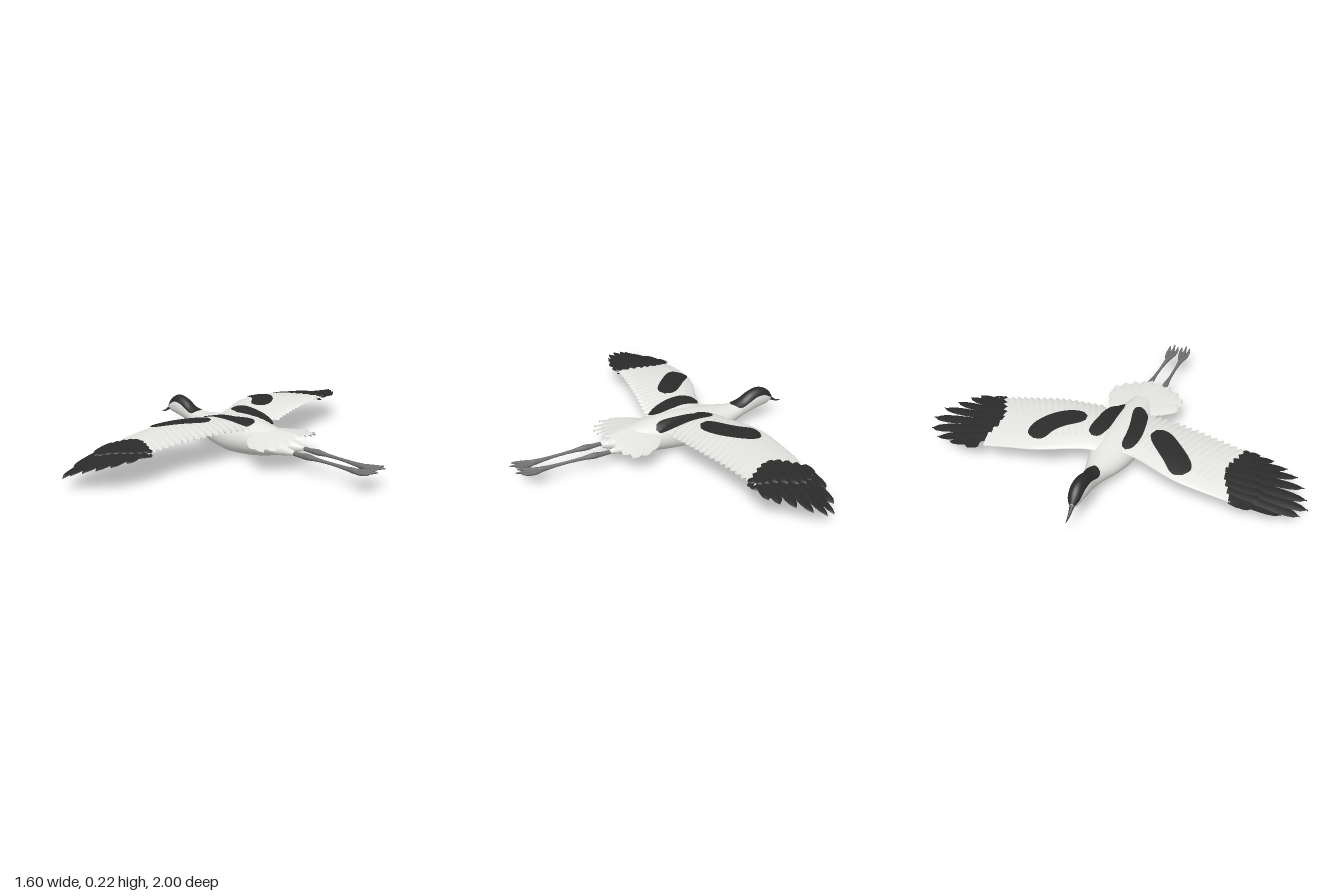
import * as THREE from 'three';
import { mergeGeometries, mergeVertices } from 'three/addons/utils/BufferGeometryUtils.js';

const mat = (name, color) => new THREE.MeshStandardMaterial({ name, color, side: THREE.DoubleSide });

// Smooth interpolation of table rows keyed by their first column
function sample(rows, k) {
  let i = 0;
  while (i < rows.length - 2 && k > rows[i + 1][0]) i++;
  const a = rows[i], b = rows[i + 1], p = rows[Math.max(i - 1, 0)], n = rows[Math.min(i + 2, rows.length - 1)];
  const d = b[0] - a[0], s = Math.min(1, Math.max(0, (k - a[0]) / d)), s2 = s * s, s3 = s2 * s;
  return a.slice(1).map((v, c) => {
    c++;
    const m0 = (b[c] - p[c]) / (b[0] - p[0]) * d, m1 = (n[c] - a[c]) / (n[0] - a[0]) * d;
    return (2 * s3 - 3 * s2 + 1) * v + (s3 - 2 * s2 + s) * m0 + (3 * s2 - 2 * s3) * b[c] + (s3 - s2) * m1;
  });
}

// Surface from f(u, v) -> [x, y, z]; faces point along dv x du
function grid(nu, nv, f) {
  const pos = [], idx = [];
  for (let i = 0; i <= nu; i++) for (let j = 0; j <= nv; j++) pos.push(...f(i / nu, j / nv));
  for (let i = 0; i < nu; i++) for (let j = 0; j < nv; j++) {
    const a = i * (nv + 1) + j, c = a + nv + 1;
    idx.push(a, a + 1, c + 1, a, c + 1, c);
  }
  let g = new THREE.BufferGeometry();
  g.setAttribute('position', new THREE.Float32BufferAttribute(pos, 3));
  g.setIndex(idx);
  g = mergeVertices(g, 1e-5);
  g.computeVertexNormals();
  return g;
}

// Body sections: x, centre z, bottom y, top y, half width
const BODY = [
  [-0.728, -0.062, 0.13, 0.15, 0.008], [-0.70, -0.06, 0.114, 0.188, 0.027], [-0.66, -0.056, 0.107, 0.215, 0.036],
  [-0.62, -0.05, 0.1, 0.221, 0.04], [-0.57, -0.045, 0.088, 0.207, 0.04], [-0.52, -0.038, 0.075, 0.178, 0.042],
  [-0.46, -0.03, 0.06, 0.163, 0.055], [-0.38, -0.012, 0.042, 0.168, 0.085], [-0.28, 0.005, 0.02, 0.185, 0.112],
  [-0.16, 0.025, 0.003, 0.2, 0.122], [-0.04, 0.04, 0.01, 0.203, 0.115], [0.08, 0.055, 0.03, 0.195, 0.095],
  [0.18, 0.068, 0.058, 0.178, 0.066], [0.26, 0.078, 0.085, 0.155, 0.036], [0.32, 0.085, 0.11, 0.13, 0.005],
];
function bodyPoint(x, a, off = 0) {
  const [zc, lo, hi, w] = sample(BODY, x);
  return [x, (lo + hi) / 2 + ((hi - lo) / 2 + off) * Math.cos(a), zc + (w + off) * Math.sin(a)];
}
function bodyTop(x, z) {
  const [zc, lo, hi, w] = sample(BODY, x), s = (z - zc) / w;
  return Math.abs(s) < 1 ? (lo + hi) / 2 + (hi - lo) / 2 * Math.sqrt(1 - s * s) : 0;
}

// Tapered round limb through rows of x, y, z, radius
const limb = (rows) => grid(rows.length * 5, 12, (u, v) => {
  const x = rows[0][0] + u * (rows[rows.length - 1][0] - rows[0][0]);
  const [y, z, r] = sample(rows, x), a = v * Math.PI * 2;
  return [x, y + r * Math.cos(a), z + r * Math.sin(a)];
});

// Rounded, slightly arched blade lying on a height function
function feather(root, tip, width, yFn, lift, tilt = 0.003, arch = 0.004) {
  const dx = tip[0] - root[0], dz = tip[1] - root[1], L = Math.hypot(dx, dz);
  return grid(12, 4, (u, v) => {
    const s = v * 2 - 1, e = Math.max(0, (u - 0.62) / 0.38);
    const w = width / 2 * Math.sqrt(Math.max(0, 1 - e * e)) * (0.75 + 0.25 * Math.min(1, u * 3)) * s;
    const x = root[0] + dx * u - dz / L * w, z = root[1] + dz * u + dx / L * w;
    return [x, yFn(x, z) + lift + arch * (1 - s * s) + tilt * s, z];
  });
}

// Painted ribbon along a path of [x, z], lying on a height function
function ribbon(path, width, yFn) {
  const c = new THREE.CatmullRomCurve3(path.map(([x, z]) => new THREE.Vector3(x, 0, z)));
  return grid(28, 8, (u, v) => {
    const p = c.getPoint(u), t = c.getTangent(u);
    const w = width * (v - 0.5) * Math.pow(Math.max(0, 1 - Math.pow(Math.abs(2 * u - 1), 5)), 0.5);
    const x = p.x - t.z * w, z = p.z + t.x * w;
    return [x, yFn(x, z), z];
  });
}

// Wing plans: edges are span, leading x, trailing x
const WINGS = [
  {
    name: 'leftWing', side: 1, drop: 0,
    edges: [[0.04, -0.31, 0.03], [0.13, -0.34, 0.01], [0.34, -0.45, -0.06], [0.5, -0.485, -0.11], [0.68, -0.495, -0.16], [1, -0.46, -0.25]],
    bases: [[0, -0.475, 0.63], [0.5, -0.33, 0.59], [1, -0.19, 0.66]],
    tips: [[-0.48, 0.88], [-0.455, 0.965], [-0.415, 1], [-0.37, 0.99], [-0.31, 0.97], [-0.255, 0.935], [-0.215, 0.88], [-0.18, 0.81], [-0.165, 0.74]],
    patch: [[-0.43, 0.4], [-0.36, 0.36], [-0.27, 0.29], [-0.17, 0.21]],
    scapular: [[-0.31, 0.085], [-0.22, 0.108], [-0.1, 0.105], [0.02, 0.085]],
  },
  {
    name: 'rightWing', side: -1, drop: 0.02,
    edges: [[0.04, -0.33, 0.05], [0.13, -0.345, 0.02], [0.34, -0.41, 0.0], [0.5, -0.415, -0.025], [0.68, -0.405, -0.05], [1, -0.31, -0.12]],
    bases: [[0, -0.39, 0.67], [0.5, -0.23, 0.59], [1, -0.075, 0.65]],
    tips: [[-0.385, 0.84], [-0.35, 0.93], [-0.29, 0.99], [-0.23, 1], [-0.17, 0.965], [-0.12, 0.905], [-0.07, 0.85], [-0.045, 0.8], [-0.045, 0.72]],
    patch: [[-0.36, 0.38], [-0.28, 0.355], [-0.2, 0.28], [-0.14, 0.16]],
    scapular: [[-0.27, 0.1], [-0.17, 0.07], [-0.06, 0.05], [0.05, 0.025]],
  },
];
const SPAN_Y = [[0.04, 0.18], [0.12, 0.19], [0.3, 0.195], [0.5, 0.178], [0.7, 0.147], [1, 0.097]];

function wingShape({ edges, drop }) {
  const chord = (x, z) => {
    const [a, b] = sample(edges, Math.abs(z));
    return Math.min(1, Math.max(0, (x - a) / (b - a)));
  };
  const mid = (t, z) => {
    const s = Math.abs(z);
    return sample(SPAN_Y, s)[0] + drop * s + (t - 0.5) * 0.07 * s - 0.03 * (2 * t - 1) ** 2 * (1 - 0.7 * s);
  };
  const half = (t, z) => (0.02 - 0.024 * Math.abs(z)) * (1 - 0.5 * t) * 2 * Math.sqrt(t * (1 - t));
  const at = (x, z, k) => { const t = chord(x, z); return mid(t, z) + k * half(t, z); };
  return { mid, half, at };
}

export function createModel() {
  const model = new THREE.Group();
  const white = mat('whitePlumage', 0xe4e4e0), black = mat('blackPlumage', 0x2b2b2b);
  const grey = mat('greyLegs', 0x717173), dark = mat('darkBill', 0x3a3a3b);
  const add = (parent, name, geo, m) => {
    const mesh = new THREE.Mesh(Array.isArray(geo) ? mergeGeometries(geo) : geo, m);
    mesh.name = name;
    parent.add(mesh);
  };

  // Body, hood and bill
  add(model, 'body', grid(64, 32, (u, v) => bodyPoint(-0.728 + 1.048 * u, v * Math.PI * 2)), white);
  const HOOD = [[-0.728, 1.7], [-0.69, 1.3], [-0.62, 1.1], [-0.54, 1.15], [-0.49, 0.95], [-0.455, 0.1]];
  add(model, 'hood', grid(28, 14, (u, v) => {
    const x = -0.728 + 0.273 * u;
    return bodyPoint(x, sample(HOOD, x)[0] * (2 * v - 1), 0.003);
  }), black);
  add(model, 'bill', limb([[-0.8, 0.098, -0.07, 0.001], [-0.77, 0.104, -0.067, 0.005], [-0.74, 0.122, -0.064, 0.009], [-0.7, 0.147, -0.061, 0.017]]), dark);

  // Wings
  for (const w of WINGS) {
    const g = new THREE.Group(), { side } = w, S = wingShape(w);
    g.name = w.name;
    model.add(g);
    add(g, 'wingArm', grid(36, 32, (u, v) => {
      const s = side > 0 ? 0.04 + 0.6 * u : 0.64 - 0.6 * u, z = s * side;
      const [a, b] = sample(w.edges, s), t = 0.5 + 0.5 * Math.cos(v * Math.PI * 2);
      return [a + t * (b - a - 0.025), S.mid(t, z) + Math.sign(Math.sin(v * Math.PI * 2)) * S.half(t, z), z];
    }), white);

    // Rows of feathers along the trailing half, above and below
    const row = (n, from, to, t0, t1, sweep, width, k, lift) => Array.from({ length: n }, (_, i) => {
      const s = from + (to - from) * i / (n - 1), s0 = Math.max(0.06, s - sweep * (0.3 + s));
      const [a, b] = sample(w.edges, s0), [c, d] = sample(w.edges, s);
      return feather([a + t0 * (b - a), s0 * side], [c + t1 * (d - c), s * side], width,
        (x, z) => S.at(x, z, k), lift, 0.004 * side * k, 0.004 * k);
    });
    add(g, 'secondaries', row(17, 0.13, 0.69, 0.45, 1.02, 0.13, 0.05, 1, 0.001), white);
    add(g, 'coverts', row(15, 0.13, 0.62, 0.2, 0.62, 0.1, 0.05, 1, 0.001), white);
    add(g, 'underSecondaries', row(17, 0.13, 0.68, 0.4, 1.0, 0.13, 0.05, -1, -0.001), white);

    // Black wing tip
    const flat = (x, z) => S.at(x, z, 0);
    const tipRow = (reach, width, lift) => w.tips.map(([x, z], i) => {
      const [bx, bz] = sample(w.bases, i / (w.tips.length - 1));
      return feather([bx, bz * side], [bx + (x - bx) * reach, (bz + (z - bz) * reach) * side], width, flat, lift, 0.004 * side);
    });
    add(g, 'primaries', tipRow(1, 0.058, 0.002), black);
    add(g, 'primaryCoverts', [...tipRow(0.45, 0.062, 0.01), ...tipRow(0.45, 0.062, -0.013)], black);

    // Black bars on the wing and shoulder
    const flip = (p) => p.map(([x, z]) => [x, z * side]);
    add(g, 'wingBar', [
      ribbon(flip(w.patch), 0.12, (x, z) => S.at(x, z, 1) + 0.011),
      ribbon(flip(w.patch), 0.12, (x, z) => S.at(x, z, -1) - 0.011),
    ], black);
    add(g, 'shoulderBar', ribbon(flip(w.scapular), 0.085, (x, z) =>
      Math.max(bodyTop(x, z), Math.abs(z) > 0.035 ? S.at(x, z, 1) : 0) + 0.01), black);
  }

  // Tail fan
  const tailTips = [[0.15, -0.11], [0.21, -0.13], [0.265, -0.12], [0.295, -0.075], [0.305, -0.02], [0.31, 0.035], [0.315, 0.085],
    [0.315, 0.14], [0.305, 0.19], [0.27, 0.24], [0.22, 0.275], [0.16, 0.265]];
  const tailY = (x, z) => 0.182 - 0.17 * Math.abs(z - 0.075) - 0.05 * Math.max(0, x - 0.2);
  add(model, 'tail', tailTips.map((t, i) => {
    const k = i / (tailTips.length - 1) - 0.5;
    return feather([0.04, 0.055 + 0.13 * k], t, 0.075, tailY, -0.012 * Math.abs(k) * 2, k > 0 ? -0.005 : 0.005, 0.006);
  }), white);

  // Trailing legs with three webbed toes each
  [['rightLeg', 0.035, 0.095, 0.113], ['leftLeg', 0.13, 0.173, 0.185]].forEach(([name, z0, z1, z2]) => {
    const g = new THREE.Group(), zAt = (x) => z0 + (z1 - z0) * (x - 0.3) / 0.35;
    g.name = name;
    model.add(g);
    add(g, 'thigh', limb([[0.08, 0.085, zAt(0.12), 0.02], [0.18, 0.098, zAt(0.2), 0.028], [0.27, 0.104, zAt(0.27), 0.019], [0.32, 0.104, zAt(0.32), 0.006]]), white);
    add(g, 'shank', limb([[0.28, 0.104, 0.011], [0.34, 0.103, 0.012], [0.39, 0.106, 0.016], [0.45, 0.107, 0.01], [0.55, 0.108, 0.008],
      [0.63, 0.107, 0.011], [0.68, 0.107, 0.014], [0.7, 0.108, 0.003]].map(([x, y, r]) => [x, y, zAt(x), r])), grey);
    for (const k of [-1, 0, 1]) {
      const end = 0.8 - 0.02 * Math.abs(k);
      add(g, 'toe', limb([[0.65, 0.107, z1, 0.009], [0.7, 0.109, z1 + 0.006 + k * 0.017, 0.01], [0.75, 0.117, z2 - 0.002 + k * 0.024, 0.009],
        [end, 0.128, z2 + k * 0.024, 0.003]]), grey);
    }
    add(g, 'web', grid(4, 4, (u, v) => [0.66 + 0.09 * u, 0.107 + 0.009 * u * u, z1 + (z2 - z1) * u + (2 * v - 1) * 0.024 * u]), grey);
  });
  return model;
}
